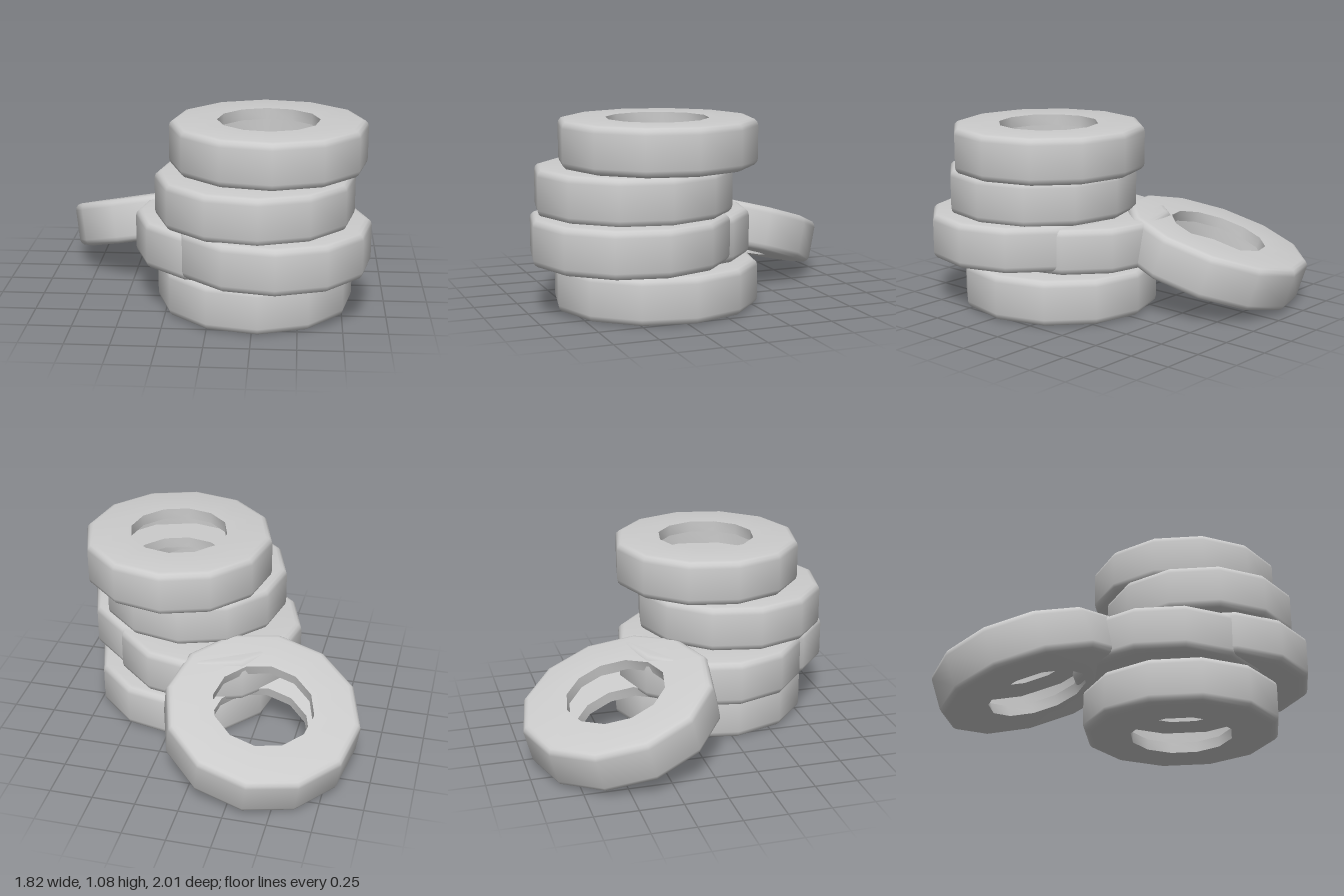
import * as THREE from 'three';
import { toCreasedNormals } from 'three/addons/utils/BufferGeometryUtils.js';

const OUTER = 0.564, HOLE = 0.292, HALF = 0.133;
const LIP = 0.065;      // thickness of the side walls
const CAVITY = 0.49;    // radius of the hollow inside
const ROUND = 0.04;     // shoulder rounding

// Hollow ring with rounded shoulders, twelve sides
function tireGeometry() {
  const p = [];
  const add = (r, y) => p.push(new THREE.Vector2(r, y));
  const inner = HALF - LIP;
  add(HOLE, -HALF);
  for (const [side, start] of [[-1, -90], [1, 0]]) {
    for (let i = 0; i <= 3; i++) {
      const a = THREE.MathUtils.degToRad(start + i * 30);
      add(OUTER - ROUND + ROUND * Math.cos(a), side * (HALF - ROUND) + ROUND * Math.sin(a));
    }
  }
  add(HOLE, HALF);
  // lips and inner cavity
  add(HOLE, inner);
  add(CAVITY, inner);
  add(CAVITY, -inner);
  add(HOLE, -inner);
  add(HOLE, -HALF);
  return toCreasedNormals(new THREE.LatheGeometry(p, 12, 0.061), 0.8);
}

export function createModel() {
  const model = new THREE.Group();
  model.name = 'tirePile';
  const geometry = tireGeometry();
  const material = new THREE.MeshStandardMaterial({ color: 0xcccccc, side: THREE.DoubleSide });

  const addTire = (name, x, y, z) => {
    const tire = new THREE.Mesh(geometry, material);
    tire.name = name;
    tire.position.set(x, y, z);
    model.add(tire);
    return tire;
  };

  // Stack, bottom to top
  addTire('bottomTire', 0.25, 0.138, 0.245).scale.z = 1.045;
  addTire('secondTireBack', 0.12, 0.408, 0.218);
  addTire('secondTireFront', 0.345, 0.426, 0.435);
  addTire('thirdTire', 0.25, 0.683, 0.38);
  addTire('topTire', 0.32, 0.95, 0.257);

  // Tire leaning against the stack
  const leaning = addTire('leaningTire', -0.345, 0.298, -0.442);
  const axis = new THREE.Vector3(-0.15, 0.953, -0.26).normalize();
  leaning.quaternion.setFromUnitVectors(new THREE.Vector3(0, 1, 0), axis);

  return model;
}
